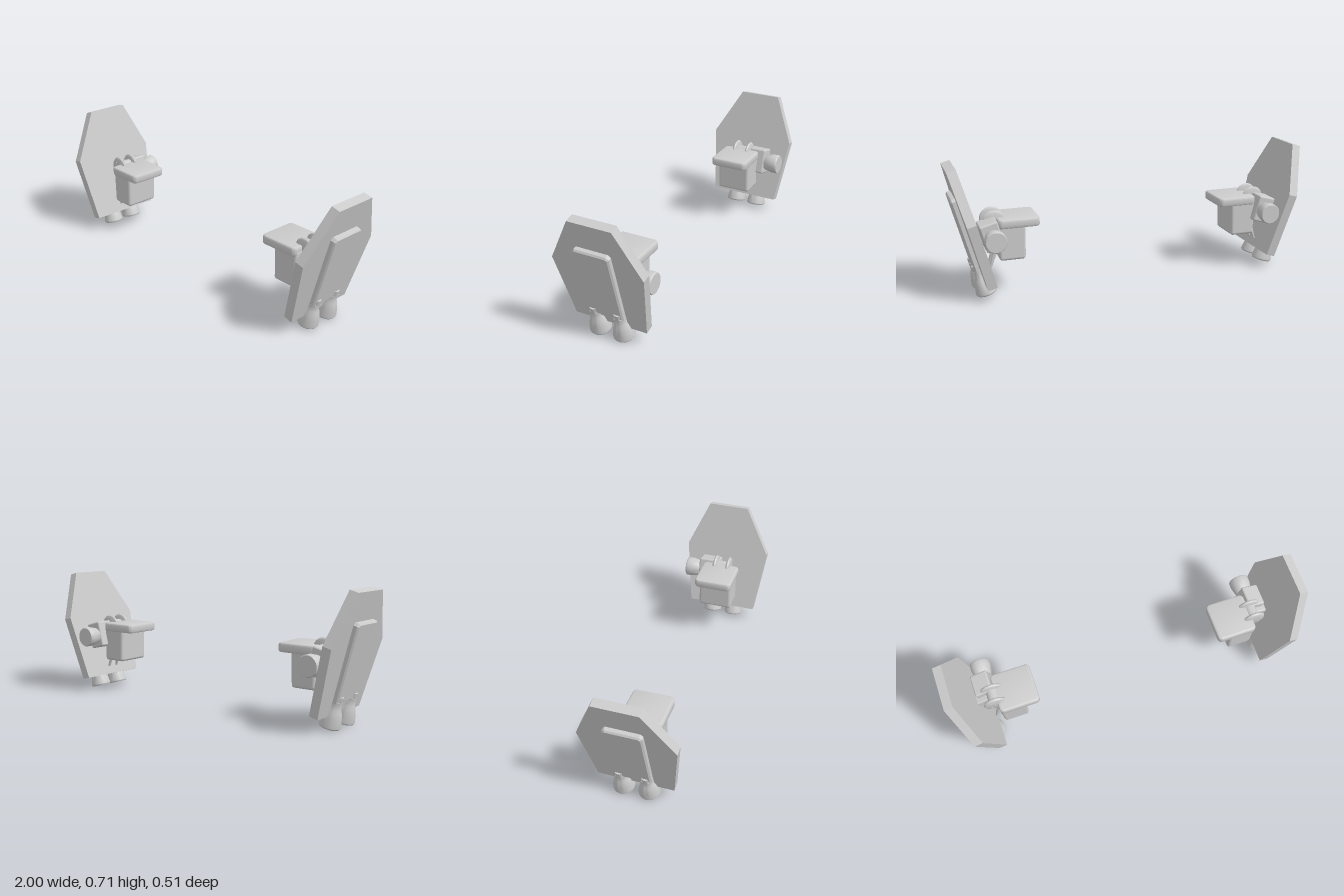
import * as THREE from 'three';
import { toCreasedNormals } from 'three/addons/utils/BufferGeometryUtils.js';
import { RoundedBoxGeometry } from 'three/addons/geometries/RoundedBoxGeometry.js';

const gray = new THREE.MeshStandardMaterial({ color: 0xcccccc });
gray.name = 'light gray';

const TILT = 0.265; // outward lean of the panels

function add(parent, name, geometry, x = 0, y = 0, z = 0) {
  const mesh = new THREE.Mesh(geometry, gray);
  mesh.name = name;
  mesh.position.set(x, y, z);
  parent.add(mesh);
  return mesh;
}

// Solid of revolution with crisp rims
function turned(profile, segments = 32) {
  const points = profile.map(([r, y]) => new THREE.Vector2(r, y));
  return toCreasedNormals(new THREE.LatheGeometry(points, segments), 0.6);
}

// Outline given as [z, y], extruded along x and centred on it
function slab(outline, thickness, bevel = 0) {
  const shape = new THREE.Shape(outline.map(([z, y]) => new THREE.Vector2(-z, y)));
  const geometry = new THREE.ExtrudeGeometry(shape, {
    depth: thickness - 2 * bevel, bevelEnabled: bevel > 0,
    bevelThickness: bevel, bevelSize: bevel, bevelOffset: -bevel, bevelSegments: 1,
  });
  geometry.translate(0, 0, bevel - thickness / 2);
  return geometry.rotateY(Math.PI / 2);
}

// Spike from a thin tip to a thick root
function spike(parent, name, tip, root, radius) {
  const a = new THREE.Vector3(...tip), b = new THREE.Vector3(...root);
  const mesh = add(parent, name, new THREE.CylinderGeometry(radius, radius * 0.35, a.distanceTo(b), 12));
  mesh.position.copy(a).add(b).multiplyScalar(0.5);
  mesh.quaternion.setFromUnitVectors(new THREE.Vector3(0, 1, 0), b.sub(a).normalize());
}

// Leaning panel with its back pack and nozzles; s is the side, +1 or -1
function buildPanel(s) {
  const panel = new THREE.Group();
  panel.name = 'panelAssembly';
  panel.position.set(s * 0.83, 0.077, 0);
  panel.rotation.z = -s * TILT;

  add(panel, 'panel', slab([
    [0.205, -0.004], [0.255, 0.37], [0.103, 0.642], [-0.136, 0.642], [-0.255, 0.37], [-0.205, -0.004],
  ], 0.05), -s * 0.025);

  add(panel, 'backPack', slab([
    [0.101, 0.07], [0.101, 0.476], [0.087, 0.49], [-0.087, 0.49], [-0.101, 0.476], [-0.101, 0.07],
  ], 0.056, 0.008));
  add(panel, 'packTab', new THREE.BoxGeometry(0.03, 0.03, 0.07), s * 0.004, 0.075, 0);

  const nozzle = turned([
    [0, -0.063], [0.053, -0.063], [0.057, -0.056], [0.056, -0.045], [0.049, -0.01],
    [0.041, 0.02], [0.034, 0.034], [0.033, 0.036], [0.033, 0.075], [0.024, 0.077], [0, 0.077],
  ]);
  for (const z of [0.069, -0.069]) {
    add(panel, 'nozzle', nozzle, s * 0.004, 0, z);
    add(panel, 'nozzleNeck', new THREE.CylinderGeometry(0.023, 0.023, 0.065, 24), s * 0.014, 0.072, z);
  }
  return panel;
}

// Joint that carries the arm box in front of the panel
function buildJoint(s) {
  const joint = new THREE.Group();
  joint.name = 'joint';

  const block = add(joint, 'jointBlock', new RoundedBoxGeometry(0.1, 0.15, 0.125, 2, 0.01), s * 0.785, 0.34, -0.082);
  block.rotation.z = -s * TILT;
  const mount = add(joint, 'panelMount', new RoundedBoxGeometry(0.08, 0.08, 0.06, 2, 0.01), s * 0.812, 0.33, -0.02);
  mount.rotation.z = -s * TILT;

  // Thruster pointing backwards
  const thruster = turned([[0, 0], [0.043, 0], [0.047, 0.006], [0.057, 0.05], [0.057, 0.08], [0.053, 0.086], [0, 0.086]]);
  add(joint, 'rearThruster', thruster.rotateX(-Math.PI / 2), s * 0.78, 0.337, -0.143);

  // Hinge discs on a common hub
  const disc = turned([
    [0, -0.012], [0.05, -0.012], [0.06, -0.008], [0.065, 0], [0.06, 0.008], [0.05, 0.012], [0, 0.012],
  ]).rotateX(Math.PI / 2);
  for (const z of [-0.037, 0.045]) add(joint, 'hingeDisc', disc, s * 0.757, 0.39, z);
  add(joint, 'hingeHub', new THREE.CylinderGeometry(0.035, 0.035, 0.08, 24).rotateX(Math.PI / 2), s * 0.757, 0.39, 0.004);

  const bolt = new THREE.CylinderGeometry(0.006, 0.006, 0.004, 10).rotateX(Math.PI / 2);
  for (let i = 0; i < 4; i++) {
    const a = Math.PI * (0.25 + i / 2);
    add(joint, 'hingeBolt', bolt, s * 0.757 + 0.036 * Math.cos(a), 0.39 + 0.036 * Math.sin(a), 0.058);
  }

  // Pointed braces down to the panel
  for (const z of [-0.03, 0.03]) spike(joint, 'brace', [s * 0.785, 0.135, z], [s * 0.738, 0.28, z * 0.7], 0.018);
  return joint;
}

// Hanging box with a flat lid reaching inwards
function buildArm(s) {
  const arm = new THREE.Group();
  arm.name = 'arm';
  const box = new RoundedBoxGeometry(0.15, 0.205, 0.2, 3, 0.016);
  const p = box.attributes.position;
  for (let i = 0; i < p.count; i++) {
    p.setX(i, p.getX(i) * (0.97 + 0.4 * p.getY(i))); // narrows towards the bottom
  }
  add(arm, 'armBox', box, s * 0.673, 0.291, 0);

  const w = 0.1125, d = 0.112, r = 0.025;
  const shape = new THREE.Shape();
  shape.absarc(w - r, d - r, r, 0, Math.PI / 2);
  shape.absarc(r - w, d - r, r, Math.PI / 2, Math.PI);
  shape.absarc(r - w, r - d, r, Math.PI, Math.PI * 1.5);
  shape.absarc(w - r, r - d, r, Math.PI * 1.5, Math.PI * 2);
  const lid = new THREE.ExtrudeGeometry(shape, {
    depth: 0.028, bevelThickness: 0.011, bevelSize: 0.011, bevelOffset: -0.011, bevelSegments: 3, curveSegments: 8,
  });
  lid.translate(0, 0, -0.014).rotateX(Math.PI / 2);
  add(arm, 'armLid', toCreasedNormals(lid, 0.7), s * 0.634, 0.391, 0.003);
  return arm;
}

export function createModel() {
  const model = new THREE.Group();
  model.name = 'shieldPair';
  for (const s of [1, -1]) {
    const side = new THREE.Group();
    side.name = s > 0 ? 'leftShield' : 'rightShield';
    side.add(buildPanel(s), buildJoint(s), buildArm(s));
    model.add(side);
  }
  return model;
}
